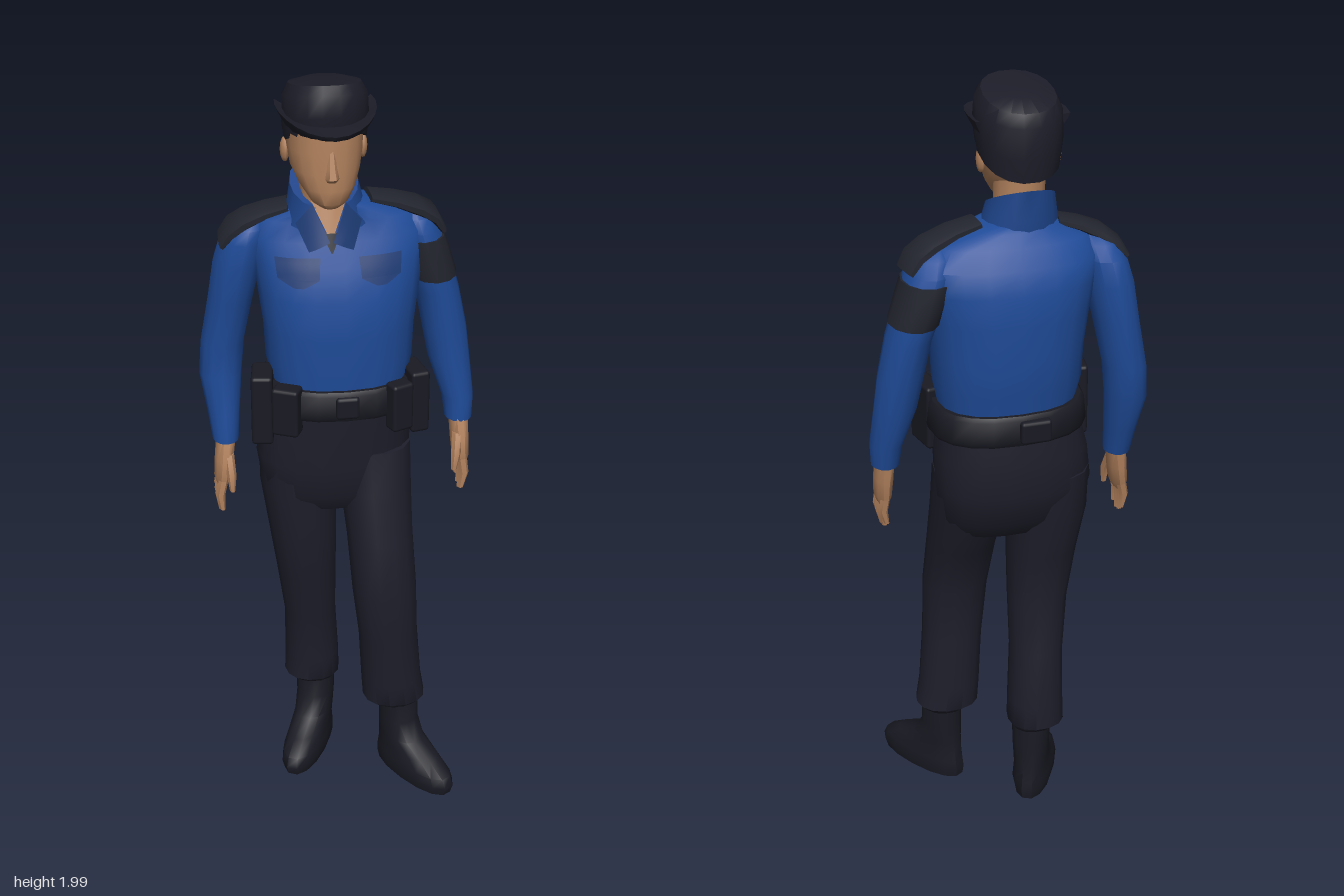
import * as THREE from 'three';
import { toCreasedNormals } from 'three/addons/utils/BufferGeometryUtils.js';
import { RoundedBoxGeometry } from 'three/addons/geometries/RoundedBoxGeometry.js';

const mat = (name, color, side = THREE.FrontSide) => {
  const m = new THREE.MeshStandardMaterial({ color, side });
  m.name = name;
  return m;
};

// Skin through rings [x, y, z, halfWidth, halfDepth, tilt]; level rings, or rings square to the path.
function loft(rings, { sides = 14, n = 2, level = true, caps = true, crease = 0.8 } = {}) {
  const pos = [], idx = [];
  const P = rings.map(r => new THREE.Vector3(r[0], r[1], r[2]));
  const pw = v => Math.sign(v) * Math.abs(v) ** (2 / n);
  rings.forEach((r, i) => {
    const t = P[Math.min(i + 1, P.length - 1)].clone().sub(P[Math.max(i - 1, 0)]);
    if (level) t.set(0, Math.sign(t.y), 0);
    t.normalize();
    const b = new THREE.Vector3(0, 0, 1).addScaledVector(t, -t.z).normalize();
    const a = t.clone().cross(b);
    for (let j = 0; j < sides; j++) {
      const th = j / sides * Math.PI * 2;
      const p = P[i].clone().addScaledVector(a, pw(Math.cos(th)) * r[3]).addScaledVector(b, pw(Math.sin(th)) * r[4]);
      p.y += (r[5] || 0) * (p.z - r[2]);
      pos.push(p.x, p.y, p.z);
    }
  });
  const last = rings.length - 1;
  for (let i = 0; i < last; i++) for (let j = 0; j < sides; j++) {
    const k = (j + 1) % sides, a = i * sides, c = a + sides;
    idx.push(a + j, c + j, a + k, a + k, c + j, c + k);
  }
  if (caps) {
    pos.push(...P[0].toArray(), ...P[last].toArray());
    const c0 = (last + 1) * sides, e = last * sides;
    for (let j = 0; j < sides; j++) {
      const k = (j + 1) % sides;
      idx.push(c0, j, k, c0 + 1, e + k, e + j);
    }
  }
  return finish(pos, idx, crease);
}

function finish(pos, idx, crease = 0.8) {
  const g = new THREE.BufferGeometry();
  g.setAttribute('position', new THREE.Float32BufferAttribute(pos, 3));
  g.setIndex(idx);
  return toCreasedNormals(g, crease);
}

// Ring of a level loft at height y (rings listed upwards)
function ringAt(rings, y) {
  let i = 0;
  while (i < rings.length - 2 && rings[i + 1][1] < y) i++;
  const f = (y - rings[i][1]) / (rings[i + 1][1] - rings[i][1]);
  return rings[i].map((v, k) => v + (rings[i + 1][k] - v) * f);
}

// Four-cornered patch laid on a surface z = zAt(x, y); corners run anticlockwise from lower left
function patch([a, b, c, d], zAt, N = 4) {
  const pos = [], idx = [], mix = (p, q, f) => p + (q - p) * f;
  for (let i = 0; i <= N; i++) for (let j = 0; j <= N; j++) {
    const [x, y] = [0, 1].map(k => mix(mix(a[k], b[k], j / N), mix(d[k], c[k], j / N), i / N));
    pos.push(x, y, zAt(x, y));
    if (i < N && j < N) {
      const q = i * (N + 1) + j;
      idx.push(q, q + 1, q + N + 2, q, q + N + 2, q + N + 1);
    }
  }
  return finish(pos, idx);
}

export function createModel() {
  const root = new THREE.Group();
  root.name = 'officer';
  const blue = mat('shirt blue', 0x1f4b98), dim = mat('flap blue', 0x1c3a72, THREE.DoubleSide);
  const navy = mat('trouser navy', 0x1e1e2b), black = mat('belt black', 0x191a23);
  const slate = mat('shoulder slate', 0x23252f), skin = mat('skin', 0xb0805c, THREE.DoubleSide);
  const cap = mat('cap navy', 0x1c1d28, THREE.DoubleSide);
  const add = (name, geo, m, parent = root) => {
    const o = new THREE.Mesh(geo, m);
    o.name = name;
    parent.add(o);
    return o;
  };

  // Shirt body
  const N = 2.4;
  const torso = [[0, 1.14, -.07, .175, .135], [0, 1.2, -.07, .178, .138], [0, 1.25, -.075, .188, .146], [0, 1.34, -.077, .192, .15],
    [0, 1.44, -.08, .205, .152], [0, 1.52, -.094, .217, .136], [0, 1.58, -.1, .226, .112], [-.005, 1.625, -.092, .195, .085],
    [-.015, 1.655, -.08, .12, .075], [-.03, 1.67, -.07, .085, .07]];
  add('shirt', loft(torso, { n: N, sides: 20 }), blue);
  const chest = (x, y) => {
    const r = ringAt(torso, y);
    return r[2] + r[4] * Math.max(0, 1 - Math.abs((x - r[0]) / r[3]) ** N) ** (1 / N) + .006;
  };
  for (const s of [1, -1]) {
    const cx = s > 0 ? .09 : -.115;
    add('pocketFlap', patch([[cx - .05, 1.5], [cx + .05, 1.5], [cx + .055, 1.55], [cx - .055, 1.55]], chest), dim);
    add('pocketPoint', patch([[cx - .012, 1.48], [cx + .012, 1.48], [cx + .05, 1.5], [cx - .05, 1.5]], chest), dim);
  }

  // Neck, collar and open throat
  add('neck', loft([[-.035, 1.6, -.06, .07, .07], [-.037, 1.7, -.055, .062, .065], [-.04, 1.78, -.05, .065, .07]]), skin);
  add('collar', loft([[-.03, 1.625, -.06, .108, .094, -.1], [-.035, 1.66, -.064, .096, .09, -.25], [-.037, 1.715, -.066, .085, .084, -.5],
    [-.037, 1.705, -.066, .072, .072, -.5]], { caps: false, sides: 16 }), mat('collar blue', 0x1d4388, THREE.DoubleSide));
  const throat = (x, y) => .045 - (y - 1.61) * .4 - (x + .035) ** 2 * 6;
  add('throat', patch([[-.038, 1.605], [-.032, 1.605], [.008, 1.69], [-.078, 1.69]], throat), skin);
  add('undershirt', patch([[-.037, 1.575], [-.033, 1.575], [-.012, 1.62], [-.058, 1.62]], (x, y) => throat(x, y) + .003), slate);
  for (const s of [1, -1]) {
    const wing = [[.004, 1.6], [.055, 1.575], [.082, 1.635], [.042, 1.685]].map(([x, y]) => [-.035 + s * x, y]);
    add('collarWing', patch(s > 0 ? wing : wing.reverse(), (x, y) => throat(x, y) + .006), dim);
  }

  // Head with nose and ears
  add('head', loft([[-.037, 1.69, .035, .022, .025], [-.037, 1.705, .025, .045, .05], [-.038, 1.74, .003, .068, .075], [-.04, 1.78, -.025, .085, .1],
    [-.04, 1.83, -.035, .093, .108], [-.04, 1.9, -.045, .095, .112]], { n: 2.2, sides: 16 }), skin);
  add('nose', loft([[-.037, 1.765, .075, .012, .008], [-.037, 1.775, .078, .017, .017], [-.037, 1.8, .074, .012, .012], [-.037, 1.84, .066, .008, .006]], { sides: 6 }), skin);
  for (const s of [1, -1]) {
    const ear = add('ear', new THREE.SphereGeometry(1, 8, 6), skin);
    ear.scale.set(.012, .032, .02);
    ear.position.set(-.04 + s * .095, 1.81, -.045);
  }

  // Cap crown and peak
  add('capCrown', loft([[-.036, 1.832, -.048, .1, .116, .44], [-.036, 1.88, -.048, .106, .121, .36], [-.036, 1.945, -.052, .103, .119, .25],
    [-.036, 1.972, -.055, .088, .104, .22], [-.036, 1.982, -.05, .05, .06, .16]], { sides: 18, n: 2.2 }), cap);
  const peak = [], peakIdx = [], M = 14;
  for (let i = 0; i <= M; i++) {
    const a = Math.PI * (-.08 + 1.16 * i / M), c = Math.cos(a), s = Math.sin(a);
    const up = 1.9 + .022 * c * c;
    peak.push(-.036 + .1 * c, 1.91 - .01 * s, -.045 + .112 * s, -.036 + .122 * c, up, -.045 + .183 * s,
      -.036 + .117 * c, up - .012, -.045 + .177 * s, -.036 + .096 * c, 1.868, -.045 + .112 * s);
    if (i < M) for (let k = 0; k < 3; k++) {
      const q = i * 4 + k;
      peakIdx.push(q, q + 4, q + 1, q + 1, q + 4, q + 5);
    }
  }
  add('capPeak', finish(peak, peakIdx), cap);

  // Arms
  const leftArm = [[.315, 1.04, -.06, .036, .043], [.313, 1.1, -.068, .042, .048], [.29, 1.21, -.085, .055, .058], [.278, 1.29, -.092, .058, .066],
    [.257, 1.4, -.1, .057, .076], [.225, 1.5, -.105, .06, .084], [.205, 1.57, -.105, .058, .08], [.195, 1.605, -.1, .05, .062], [.19, 1.63, -.095, .025, .03]];
  const rightArm = [[-.295, 1.005, -.09, .034, .042], [-.297, 1.08, -.105, .042, .049], [-.3, 1.18, -.13, .055, .058], [-.292, 1.27, -.135, .056, .064],
    [-.268, 1.4, -.125, .058, .076], [-.25, 1.5, -.115, .062, .084], [-.235, 1.565, -.11, .058, .078], [-.225, 1.6, -.1, .05, .062], [-.21, 1.625, -.098, .025, .03]];
  add('leftSleeve', loft(leftArm, { sides: 12 }), blue);
  add('rightSleeve', loft(rightArm, { sides: 12 }), blue);
  add('armBand', loft([1.44, 1.5, 1.55].map(y => ringAt(leftArm, y).map((v, k) => k > 2 ? v + .005 : v)), { sides: 12 }), slate);

  // Shoulder straps
  const strap = (name, pts) => add(name, loft(pts, { sides: 10, level: false, n: 2.6 }), slate);
  strap('leftShoulderStrap', [[.075, 1.668, -.075, .01, .042], [.14, 1.652, -.08, .014, .048], [.2, 1.628, -.088, .018, .054], [.238, 1.605, -.095, .016, .058], [.262, 1.57, -.1, .01, .055]]);
  strap('rightShoulderStrap', [[-.125, 1.656, -.078, .01, .042], [-.18, 1.64, -.085, .014, .048], [-.23, 1.618, -.092, .018, .054], [-.267, 1.592, -.1, .016, .058], [-.29, 1.56, -.105, .01, .055]]);

  // Hands: palm, four fingers and a thumb
  function hand(name, x, y, z, s, lean) {
    const g = new THREE.Group();
    g.name = name;
    add('palm', loft([[0, .02, 0, .026, .032], [0, -.04, .012, .025, .042], [0, -.09, .018, .022, .044], [0, -.11, .018, .014, .036]], { sides: 10 }), skin, g);
    for (let i = 0; i < 4; i++) {
      const fz = .018 + (i - 1.5) * .021, len = [.075, .09, .095, .085][i];
      add('finger', loft([[0, -.09, fz, .013, .012], [.004 * s, -.09 - len * .5, fz + .004, .012, .011], [-.006 * s, -.09 - len, fz + .006, .007, .007]], { sides: 6 }), skin, g);
    }
    add('thumb', loft([[-.008 * s, -.02, .03, .014, .016], [-.018 * s, -.07, .058, .013, .014], [-.025 * s, -.115, .062, .007, .008]], { sides: 6 }), skin, g);
    g.position.set(x, y, z);
    g.rotation.z = lean;
    root.add(g);
  }
  hand('leftHand', .314, 1.03, -.052, 1, .04);
  hand('rightHand', -.297, .995, -.088, -1, -.13);

  // Trousers
  add('trouserSeat', loft([[-.01, .83, -.065, .16, .09], [-.012, .88, -.07, .19, .125], [-.014, .97, -.082, .202, .142], [-.008, 1.06, -.08, .198, .146], [0, 1.16, -.07, .182, .14]], { n: 2.4, sides: 18 }), navy);
  const legs = {
    rightLeg: [[-.065, .215, -.12, .058, .055], [-.07, .235, -.12, .076, .076], [-.07, .3, -.118, .074, .076], [-.076, .45, -.102, .07, .076],
      [-.088, .6, -.07, .079, .08], [-.098, .75, -.07, .091, .1], [-.108, .88, -.082, .1, .12], [-.11, 1, -.085, .1, .125]],
    leftLeg: [[.142, .215, .035, .058, .055], [.136, .235, .035, .085, .075], [.128, .3, .037, .082, .076], [.117, .45, .044, .08, .08],
      [.104, .6, .054, .086, .086], [.097, .75, .012, .088, .105], [.092, .88, -.04, .095, .122], [.09, 1, -.07, .098, .125]],
  };
  for (const k in legs) add(k, loft(legs[k], { sides: 14, n: 2.2 }), navy);

  // Boots
  function boot(name, x, z, yaw) {
    const b = add(name, loft([[0, 0, .07, .05, .138], [0, .025, .072, .056, .144], [0, .05, .068, .054, .136], [0, .08, .045, .05, .108],
      [0, .11, .015, .049, .072], [0, .16, 0, .051, .054], [0, .25, 0, .053, .052]], { sides: 14, n: 2.2 }), black);
    b.position.set(x, 0, z);
    b.rotation.y = yaw;
  }
  boot('leftBoot', .15, .04, .55);
  boot('rightBoot', -.06, -.118, -.46);

  // Belt with buckle, holster and pouches
  add('belt', loft([[0, 1.12, -.07, .198, .152], [0, 1.13, -.07, .204, .158], [0, 1.19, -.07, .198, .156], [0, 1.2, -.07, .19, .148]], { n: 2.4, sides: 20 }), black);
  const kit = [['buckle', .06, .06, .02, 0, 1.16, .085, 0], ['holster', .055, .19, .1, -.205, 1.14, -.01, -.15], ['frontPouch', .07, .13, .05, -.15, 1.15, .055, -.45],
    ['leftPouch', .05, .17, .1, .185, 1.14, .0, .2], ['leftFrontPouch', .06, .13, .045, .135, 1.15, .07, .4], ['backPouch', .08, .06, .035, -.03, 1.16, -.225, 0]];
  for (const [name, w, h, d, x, y, z, yaw] of kit) {
    const o = add(name, new RoundedBoxGeometry(w, h, d, 2, .009), black);
    o.position.set(x, y, z);
    o.rotation.y = yaw;
  }
  return root;
}
